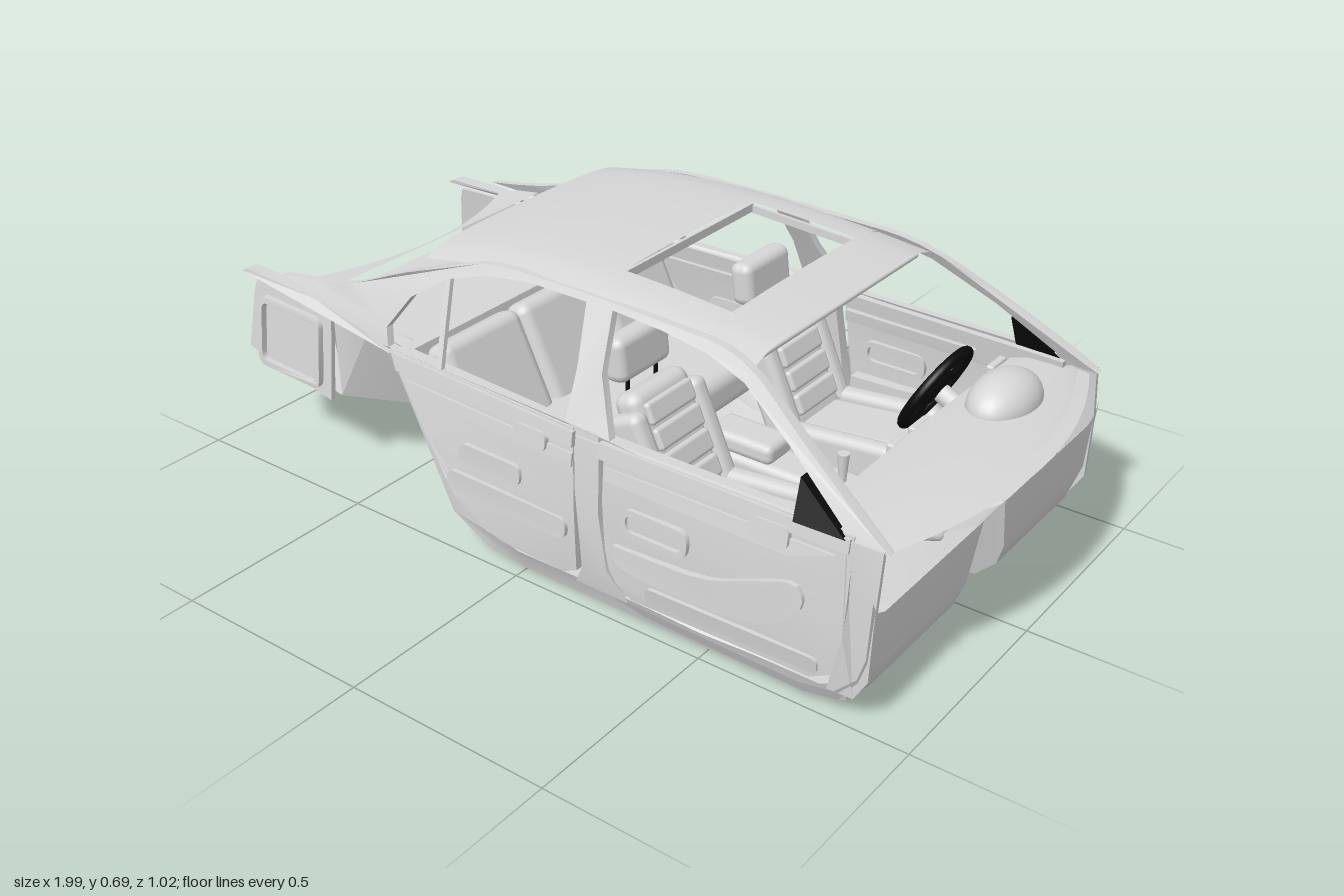
import * as THREE from 'three';
import { toCreasedNormals, mergeGeometries } from 'three/addons/utils/BufferGeometryUtils.js';
import { RoundedBoxGeometry } from 'three/addons/geometries/RoundedBoxGeometry.js';

const grey = new THREE.MeshStandardMaterial({ color: 0xd6d6d6, side: THREE.DoubleSide });
grey.name = 'light grey';
const black = new THREE.MeshStandardMaterial({ color: 0x0a0a0a, side: THREE.DoubleSide });
black.name = 'black';

// piecewise-linear lookup in [[x, y], ...]
function lerpTable(t, x) {
  if (x <= t[0][0]) return t[0][1];
  for (let i = 1; i < t.length; i++) {
    const [a, b] = [t[i - 1], t[i]];
    if (x <= b[0]) return a[1] + (b[1] - a[1]) * (x - a[0]) / (b[0] - a[0]);
  }
  return t[t.length - 1][1];
}

// half width of the body side at a given length and height
const BELT = [[-1, 0.385], [-0.7, 0.4], [-0.42, 0.45], [-0.1, 0.472], [0.5, 0.478], [0.9, 0.465]];
const LOW = [[0, -0.01], [0.06, 0.012], [0.15, 0.025], [0.3, 0.018], [0.42, 0]];
const sideZ = (x, y) => {
  const belt = lerpTable(BELT, x);
  if (y < 0.42) return belt + lerpTable(LOW, y);
  return belt + (0.35 - belt) * Math.pow((y - 0.42) / 0.25, 1.15);
};

const shapeOf = (pts) => new THREE.Shape(pts.map((p) => new THREE.Vector2(...p)));
const curved = (pts, n) => new THREE.SplineCurve(pts.map((p) => new THREE.Vector2(...p))).getPoints(n).map((p) => [p.x, p.y]);

// flat outline bent onto the body side; off moves it outward
function sideGeo(s, pts, holes = [], depth = 0.012, off = 0) {
  const shape = shapeOf(pts);
  holes.forEach((h) => shape.holes.push(shapeOf(h)));
  const g = new THREE.ExtrudeGeometry(shape, { depth, bevelEnabled: false, curveSegments: 6 });
  const p = g.attributes.position;
  for (let i = 0; i < p.count; i++) p.setZ(i, s * (sideZ(p.getX(i), p.getY(i)) + off + p.getZ(i) - depth));
  return toCreasedNormals(g, 0.5);
}

// smooth sheet through rows of points
function sheet(rows, crease = 0.5) {
  const n = rows[0].length, idx = [];
  for (let i = 0; i < rows.length - 1; i++)
    for (let j = 0; j < n - 1; j++) {
      const a = i * n + j, b = a + n;
      idx.push(a, a + 1, b, b, a + 1, b + 1);
    }
  const g = new THREE.BufferGeometry();
  g.setAttribute('position', new THREE.Float32BufferAttribute(rows.flat(2), 3));
  g.setIndex(idx);
  return toCreasedNormals(g, crease);
}
const steps = (a, b, n) => Array.from({ length: n + 1 }, (_, i) => a + (b - a) * i / n);

// rounded rectangle outline
function roundRect(x0, y0, x1, y1, r) {
  const out = [];
  [[x1 - r, y1 - r], [x0 + r, y1 - r], [x0 + r, y0 + r], [x1 - r, y0 + r]].forEach(([cx, cy], k) => {
    for (let i = 0; i <= 4; i++) {
      const a = (k + i / 4) * Math.PI / 2;
      out.push([cx + r * Math.cos(a), cy + r * Math.sin(a)]);
    }
  });
  return out;
}

export function createModel() {
  const root = new THREE.Group();
  const add = (name, geo, mat = grey, parent = root) => {
    const m = new THREE.Mesh(geo, mat);
    m.name = name;
    parent.add(m);
    return m;
  };
  const box = (name, w, h, d, x, y, z, r = 0.01, parent = root, mat = grey) => {
    const m = add(name, r ? new RoundedBoxGeometry(w, h, d, 2, r) : new THREE.BoxGeometry(w, h, d), mat, parent);
    m.position.set(x, y, z);
    return m;
  };

  // roof in four patches around the sunroof opening
  const crown = curved([[-0.37, 0.655], [-0.2, 0.683], [0, 0.695], [0.2, 0.69], [0.38, 0.677], [0.52, 0.66]], 40);
  const roofRow = (x, z0, z1, n) => steps(z0, z1, n).map((z) => {
    const u = Math.abs(z) / 0.35;
    return [x, lerpTable(crown, x) - 0.01 * u * u - 0.018 * u ** 8, z];
  });
  const patch = (x0, x1, z0, z1) => sheet(steps(x0, x1, 10).map((x) => roofRow(x, z0, z1, 16)), 1);
  add('roof', mergeGeometries([patch(-0.37, 0.11, -0.35, 0.35), patch(0.39, 0.52, -0.35, 0.35),
    patch(0.11, 0.39, -0.35, -0.24), patch(0.11, 0.39, 0.24, 0.35)]));
  for (const x of [0.11, 0.39]) box('sunroofCrossRim', 0.008, 0.02, 0.48, x, x < 0.2 ? 0.676 : 0.66, 0, 0);
  for (const z of [-0.24, 0.24]) box('sunroofSideRim', 0.28, 0.018, 0.008, 0.25, 0.664, z, 0).rotation.z = -0.06;
  box('windscreenHeader', 0.06, 0.012, 0.62, 0.485, 0.641, 0, 0.005).rotation.z = -0.15;
  box('roofConsole', 0.07, 0.018, 0.11, 0.44, 0.648, 0, 0.006);

  // floor with tunnel, rising into the firewall: [x, floor, tunnel top, top half, bottom half, half width]
  const floor = [[-0.36, 0.39, 0.4, 0.05, 0.09, 0.43], [-0.22, 0.1, 0.12, 0.05, 0.09, 0.45], [-0.12, 0.035, 0.092, 0.05, 0.09, 0.465],
    [0, 0.008, 0.092, 0.06, 0.09, 0.475], [0.4, 0.005, 0.092, 0.06, 0.09, 0.485], [0.74, 0.005, 0.16, 0.05, 0.1, 0.49],
    [0.82, 0.02, 0.21, 0.05, 0.105, 0.49], [0.87, 0.07, 0.24, 0.05, 0.1, 0.49], [0.89, 0.13, 0.255, 0.05, 0.085, 0.495], [0.9, 0.268, 0.27, 0.045, 0.05, 0.5]];
  add('floorAndFirewall', sheet(floor.map(([x, f, t, a, b, w]) => {
    const half = [[w, f + 0.045], [w - 0.015, f + 0.015], [w - 0.05, f], [b, f], [a, t]];
    return [...half.map(([z, y]) => [x, y, z]), ...half.reverse().map(([z, y]) => [x, y, -z])];
  }), 0.6));

  // luggage floor narrowing between the wheels, its front wall and the parcel shelf
  const cross = (x, y, w, bow = 0) => steps(-1, 1, 12).map((u) => [x - bow * (1 - u * u), y, u * w]);
  add('luggageFloor', sheet([cross(-0.97, 0.245, 0.37, 0.025), cross(-0.65, 0.2, 0.385), cross(-0.5, 0.19, 0.3), cross(-0.36, 0.18, 0.22)]));
  add('luggageFrontWall', sheet([cross(-0.36, 0.18, 0.22), cross(-0.4, 0.42, 0.38)]));
  add('parcelShelf', sheet([cross(-0.37, 0.42, 0.42), cross(-0.5, 0.435, 0.41), cross(-0.67, 0.45, 0.39)]));
  add('shelfRearWall', sheet([cross(-0.67, 0.45, 0.39), cross(-0.64, 0.2, 0.38)]));
  add('rearWindowSill', sheet([cross(-0.67, 0.475, 0.4), cross(-0.8, 0.46, 0.39, -0.1)]));

  // dashboard: one profile swept across, bowed at the front
  const dash = [[0.985, 0.395, 0.11], [0.94, 0.41, 0.1], [0.86, 0.412, 0.07], [0.76, 0.41, 0.02], [0.7, 0.395, 0], [0.68, 0.36, 0], [0.69, 0.32, 0], [0.73, 0.27, 0]];
  add('dashboard', sheet(dash.map(([x, y, bow]) => steps(-1, 1, 20).map((u) => [x - bow * u * u, y - 0.012 * u * u, u * 0.465])), 0.7));
  add('cowlLip', sheet([[0.99, 0.402], [0.955, 0.405], [0.95, 0.385]].map(([x, y]) => steps(-1, 1, 20).map((u) => [x - 0.11 * u * u, y - 0.012 * u * u, u * 0.47]))));
  const hood = add('instrumentHood', new THREE.SphereGeometry(1, 28, 18));
  hood.scale.set(0.075, 0.068, 0.115);
  hood.position.set(0.8, 0.405, -0.21);
  box('centreScreen', 0.02, 0.05, 0.12, 0.68, 0.3, 0, 0.008);
  for (const z of [-0.045, 0.045, -0.4, 0.38]) box('airVent', 0.02, 0.035, 0.07, 0.685, 0.37, z, 0.006);
  box('gloveBox', 0.02, 0.08, 0.24, 0.7, 0.31, 0.24, 0.008);
  box('centreStack', 0.14, 0.16, 0.13, 0.73, 0.24, 0, 0.02).rotation.z = 0.3;
  box('centreConsole', 0.52, 0.08, 0.11, 0.42, 0.165, 0, 0.02);
  box('centreArmrest', 0.18, 0.05, 0.1, 0.28, 0.225, 0, 0.018);
  const lever = add('gearLever', new THREE.CylinderGeometry(0.014, 0.008, 0.08, 12));
  lever.position.set(0.53, 0.235, 0);

  // steering wheel
  const wheel = new THREE.Group();
  wheel.name = 'steeringWheel';
  add('rim', new THREE.TorusGeometry(0.107, 0.0125, 10, 40), black, wheel);
  const hub = add('hub', new THREE.SphereGeometry(0.048, 18, 12), black, wheel);
  hub.scale.set(1.1, 1, 0.4);
  for (const a of [0, Math.PI, -Math.PI / 2]) {
    const spoke = box('spoke', 0.08, 0.035, 0.014, 0.066 * Math.cos(a), 0.066 * Math.sin(a), 0, 0.006, wheel, black);
    spoke.rotation.z = a;
  }
  wheel.rotation.set(-0.48, -Math.PI / 2, 0, 'YXZ');
  wheel.position.set(0.63, 0.38, -0.215);
  root.add(wheel);
  const column = add('steeringColumn', new THREE.CylinderGeometry(0.022, 0.026, 0.1, 14));
  column.rotation.z = 1.1;
  column.position.set(0.68, 0.355, -0.215);

  // rear bench
  box('rearCushion', 0.32, 0.1, 0.8, -0.07, 0.19, 0, 0.035).rotation.z = 0.08;
  for (const z of [-0.27, 0, 0.27]) box('rearBackrest', 0.08, 0.28, 0.268, -0.26, 0.31, z, 0.03).rotation.z = 0.45;

  const frontWindow = [[0.25, 0.425], [0.81, 0.425], [0.66, 0.53], [0.52, 0.61], [0.42, 0.637], [0.3, 0.65], [0.17, 0.656], [0.19, 0.54]];
  const rearWindow = [[0.13, 0.43], [0.125, 0.54], [0.1, 0.656], [-0.05, 0.656], [-0.17, 0.643], [-0.28, 0.61], [-0.37, 0.55], [-0.425, 0.47], [-0.41, 0.43]];
  const frameTop = curved([[0.91, 0.405], [0.7, 0.535], [0.5, 0.645], [0.3, 0.664], [0, 0.67], [-0.2, 0.66], [-0.4, 0.595], [-0.6, 0.515], [-0.82, 0.475]], 32);
  const frontDoor = [...curved([[0.24, 0.42], [0.25, 0.25], [0.27, 0.12], [0.32, 0.07]], 8), [0.5, 0.065], [0.76, 0.07], [0.81, 0.1], [0.835, 0.2], [0.835, 0.42]];
  const rearDoor = [[-0.4, 0.43], ...curved([[-0.36, 0.38], [-0.26, 0.25], [-0.16, 0.12], [-0.05, 0.07]], 8), [0.13, 0.065], [0.17, 0.085], [0.17, 0.25], [0.155, 0.425]];
  const armrest = curved([[0.28, 0.2], [0.5, 0.21], [0.62, 0.25], [0.72, 0.28], [0.74, 0.23], [0.66, 0.165], [0.5, 0.14], [0.3, 0.155], [0.28, 0.2]], 28).slice(0, -1);

  for (const s of [1, -1]) {
    const side = new THREE.Group();
    side.name = s > 0 ? 'leftwardSide' : 'rightwardSide';
    root.add(side);
    const panel = (name, ...a) => add(name, sideGeo(s, ...a), grey, side);

    // window frame with front and rear pillars
    panel('sideFrame', [...frameTop, [-0.7, 0.455], [-0.5, 0.42], [0, 0.41], [0.5, 0.41]], [frontWindow, rearWindow], 0.02);
    panel('quarterWindowBar', [[-0.235, 0.43], [-0.25, 0.43], [-0.285, 0.61], [-0.27, 0.615]]);
    panel('middlePillar', [[0.14, 0.43], [0.22, 0.43], [0.235, 0.25], [0.255, 0.12], [0.3, 0.05], [0.16, 0.05], [0.185, 0.1], [0.175, 0.25]], [], 0.03);
    panel('sill', [[-0.2, 0.09], [-0.12, 0.035], [0, 0.008], [0.76, 0.008], [0.84, 0.04], [0.84, 0.09], [0.78, 0.06], [0, 0.06], [-0.1, 0.08], [-0.35, 0.38], [-0.37, 0.38]], [], 0.03);
    panel('footwellSide', [[0.8, 0.06], [0.86, 0.06], [0.895, 0.12], [0.9, 0.28], [0.9, 0.41], [0.82, 0.41], [0.835, 0.2]], [], 0.01, 0.005);

    // door cards with trim
    panel('frontDoor', frontDoor, [], 0.018, 0.003);
    panel('rearDoor', rearDoor, [], 0.018, 0.003);
    panel('frontDoorRail', [[0.23, 0.385], [0.83, 0.385], [0.83, 0.415], [0.23, 0.42]], [], 0.045, 0.01);
    panel('rearDoorRail', [[-0.37, 0.39], [0.16, 0.385], [0.16, 0.42], [-0.39, 0.428]], [], 0.045, 0.01);
    panel('frontDoorTrim', [[0.25, 0.34], [0.7, 0.335], [0.8, 0.37], [0.25, 0.37]], [], 0.036, 0.006);
    panel('rearDoorTrim', [[-0.33, 0.35], [0.16, 0.34], [0.16, 0.37], [-0.34, 0.375]], [], 0.036, 0.006);
    panel('frontArmrest', armrest, [], 0.06, 0.008);
    panel('rearArmrest', roundRect(-0.2, 0.16, 0.15, 0.21, 0.02), [], 0.055, 0.008);
    panel('frontPull', roundRect(0.3, 0.235, 0.47, 0.3, 0.025), [roundRect(0.312, 0.247, 0.458, 0.288, 0.018)], 0.04, 0.008);
    panel('rearPull', roundRect(-0.16, 0.24, 0.02, 0.29, 0.02), [], 0.036, 0.007);
    panel('frontLatch', roundRect(0.61, 0.345, 0.7, 0.395, 0.015), [], 0.048, 0.012);
    panel('rearLatch', roundRect(0, 0.35, 0.09, 0.395, 0.015), [], 0.048, 0.012);
    panel('doorPocket', roundRect(0.36, 0.085, 0.78, 0.125, 0.015), [], 0.046, 0.006);

    // rear quarter: lamp housing, wheel housing slanting inward, gutter
    panel('lampPanel', [[-0.96, 0.245], [-0.65, 0.2], [-0.65, 0.43], [-0.93, 0.43], [-0.94, 0.4]], [], 0.012, -0.012);
    panel('lampFrame', roundRect(-0.91, 0.22, -0.68, 0.4, 0.025), [roundRect(-0.895, 0.235, -0.695, 0.385, 0.018)], 0.02, 0.004);
    const arch = [[[-0.36, 0.18, 0.22], [-0.5, 0.19, 0.3], [-0.65, 0.2, 0.385]], [[-0.4, 0.425, 0.38], [-0.52, 0.435, 0.39], [-0.65, 0.44, 0.39]]];
    add('wheelHousing', sheet(arch.map((row) => row.map(([x, y, z]) => [x, y, s * z]))), grey, side);
    panel('rearGutter', [[-0.97, 0.445], [-0.7, 0.428], [-0.4, 0.42], [-0.5, 0.44], [-0.7, 0.45], [-0.95, 0.455]], [], 0.035, 0.004);

    // mirror mount
    add('mirrorMount', sideGeo(s, [[0.7, 0.495], [0.705, 0.412], [0.82, 0.412]], [], 0.032, 0.012), black, side);

    // front seat
    const seat = new THREE.Group();
    seat.name = 'frontSeat';
    seat.position.z = s * 0.24;
    root.add(seat);
    box('cushion', 0.34, 0.09, 0.2, 0.44, 0.175, 0, 0.035, seat).rotation.z = 0.12;
    box('seatBase', 0.28, 0.1, 0.2, 0.42, 0.08, 0, 0.01, seat);
    const back = box('backrest', 0.075, 0.31, 0.2, 0.235, 0.305, 0, 0.03, seat);
    back.rotation.z = 0.42;
    for (const t of [-1, 1]) {
      box('cushionBolster', 0.32, 0.1, 0.05, 0.43, 0.185, t * 0.11, 0.022, seat).rotation.z = 0.1;
      box('backBolster', 0.09, 0.26, 0.05, 0.245, 0.295, t * 0.105, 0.022, seat).rotation.z = 0.42;
      const post = add('headrestPost', new THREE.CylinderGeometry(0.005, 0.005, 0.06, 8), black, seat);
      post.position.set(0.155, 0.45, t * 0.05);
    }
    for (const k of [-0.08, -0.02, 0.04, 0.1]) {
      box('backCushionRib', 0.02, 0.052, 0.16, 0.272 - 0.41 * k, 0.32 + 0.91 * k, 0, 0.009, seat).rotation.z = 0.42;
    }
    box('headrest', 0.06, 0.105, 0.178, 0.14, 0.513, 0, 0.022, seat).rotation.z = 0.12;
  }
  return root;
}
